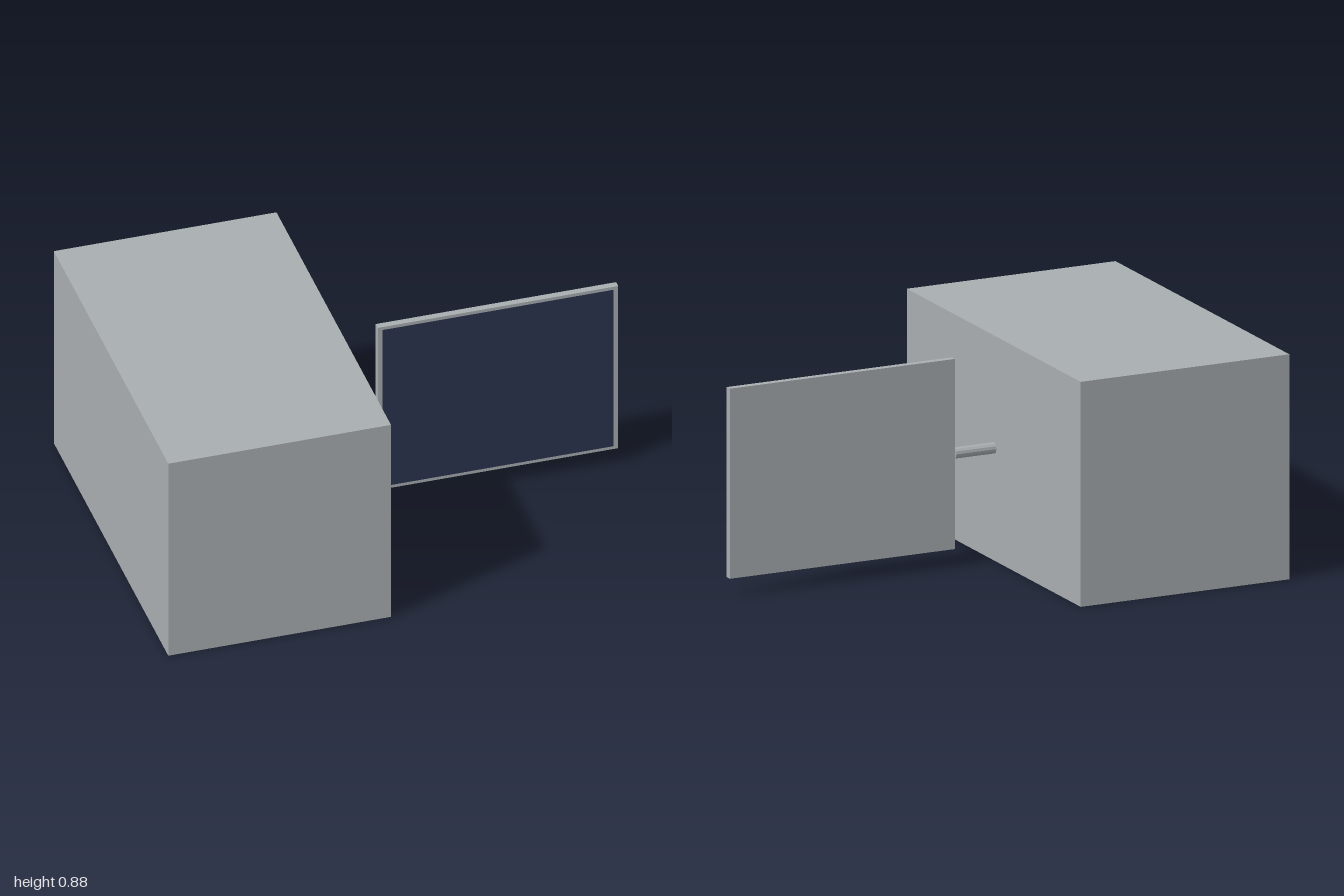
import * as THREE from 'three';

export function createModel() {
  const model = new THREE.Group();
  model.name = 'satellite';

  const material = (name, color) => {
    const m = new THREE.MeshStandardMaterial({ color });
    m.name = name;
    return m;
  };
  const grey = material('metalGrey', 0xa9aeb1);
  const navy = material('cellNavy', 0x2c344f);

  const add = (name, geometry, mat, x, y, z = 0) => {
    const mesh = new THREE.Mesh(geometry, mat);
    mesh.name = name;
    mesh.position.set(x, y, z);
    model.add(mesh);
    return mesh;
  };

  const midY = 0.441;

  // Main box
  add('body', new THREE.BoxGeometry(0.88, 0.882, 1.476), grey, -0.56, midY);

  // Faceted rod joining the body and the panel
  const rod = new THREE.CylinderGeometry(0.022, 0.022, 0.17, 12).toNonIndexed();
  rod.computeVertexNormals();
  rod.rotateZ(Math.PI / 2);
  add('rod', rod, grey, -0.036, midY);

  // Panel frame with the dark cell face on its front
  add('panelFrame', new THREE.BoxGeometry(0.95, 0.745, 0.027), grey, 0.525, midY);
  add('panelCells', new THREE.BoxGeometry(0.912, 0.718, 0.004), navy, 0.525, midY, 0.0125);

  return model;
}
